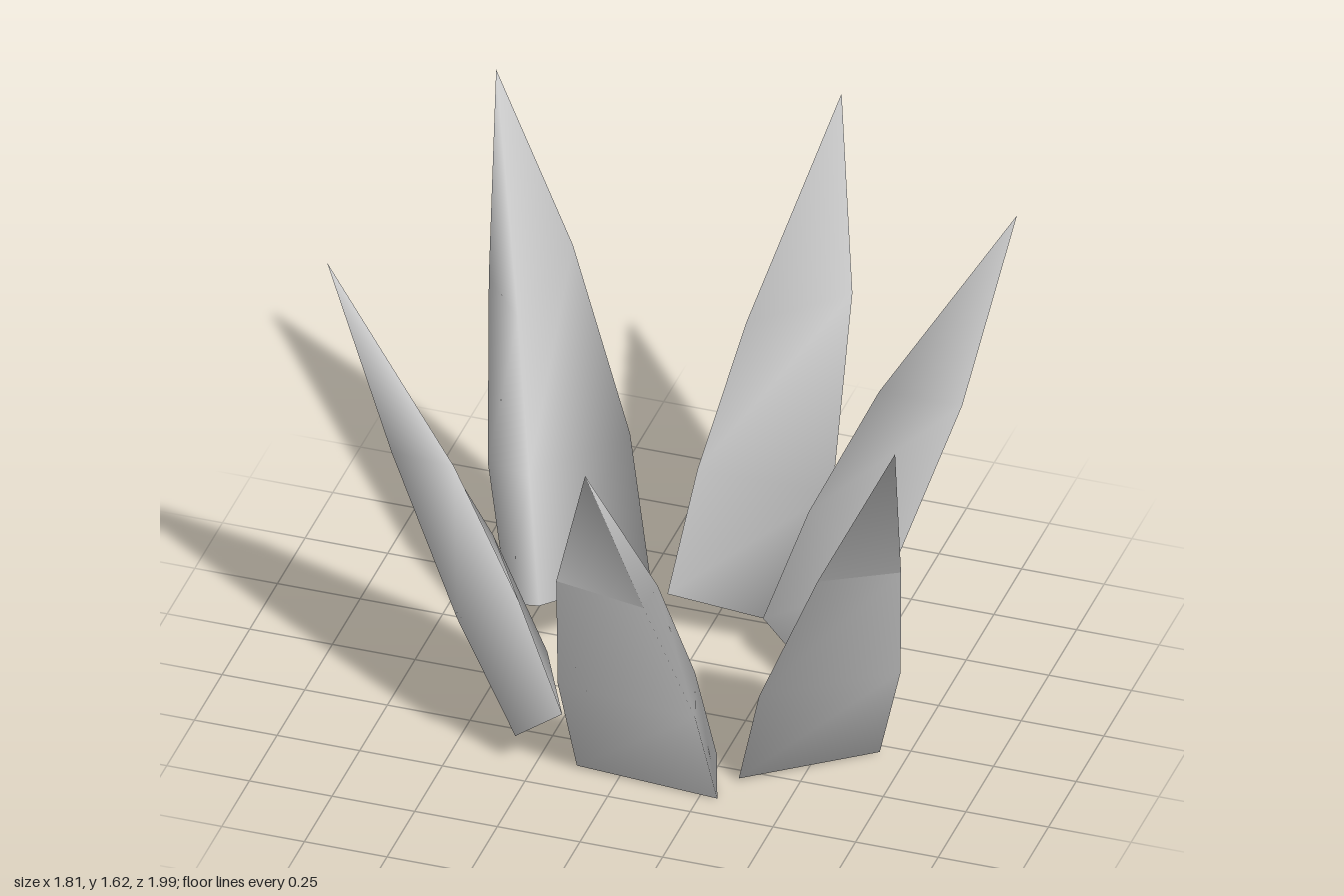
import * as THREE from 'three';

// Three-sided leaning blade: rings of [left edge, outer right edge, inner right edge]
const RINGS = [
  [[-0.195, 0.01, 0.055], [0.237, 0, 0.076], [0.193, 0.06, -0.053]],
  [[-0.2, 0.39, 0.213], [0.228, 0.38, 0.247], [0.17, 0.42, 0.077]],
  [[-0.123, 0.91, 0.456], [0.14, 0.87, 0.452], [0.123, 0.83, 0.273]],
];
const TIP = [0.032, 1.43, 0.658];

function bladeGeometry() {
  const positions = [...RINGS.flat(2), ...TIP];
  const tip = RINGS.length * 3;
  const index = [0, 2, 1]; // base cap
  for (let r = 0; r < RINGS.length; r++) {
    for (let i = 0; i < 3; i++) {
      const a = r * 3 + i;
      const b = r * 3 + (i + 1) % 3;
      if (r === RINGS.length - 1) index.push(a, b, tip);
      else index.push(a, b, b + 3, a, b + 3, a + 3);
    }
  }
  const geometry = new THREE.BufferGeometry();
  geometry.setAttribute('position', new THREE.Float32BufferAttribute(positions, 3));
  geometry.setIndex(index);
  geometry.computeVertexNormals();
  return geometry;
}

// Placement of each blade around the open centre: x, y, z, turn in degrees
const BLADES = {
  frontBlade: [0.065, 0, 0.335, 0],
  frontLeftBlade: [0.44, 0, 0.135, 42],
  backLeftBlade: [0.35, 0.09, -0.172, 123],
  backBlade: [0.1, 0.09, -0.35, 168],
  backRightBlade: [-0.27, 0.19, -0.185, -139],
  frontRightBlade: [-0.26, 0.11, 0.198, -81],
};

export function createModel() {
  const model = new THREE.Group();
  model.name = 'bladeCluster';
  const geometry = bladeGeometry();
  const material = new THREE.MeshStandardMaterial({ color: 0xcccccc });
  for (const [name, [x, y, z, turn]] of Object.entries(BLADES)) {
    const blade = new THREE.Mesh(geometry, material);
    blade.name = name;
    blade.position.set(x, y, z);
    blade.rotation.y = THREE.MathUtils.degToRad(turn);
    model.add(blade);
  }
  return model;
}
